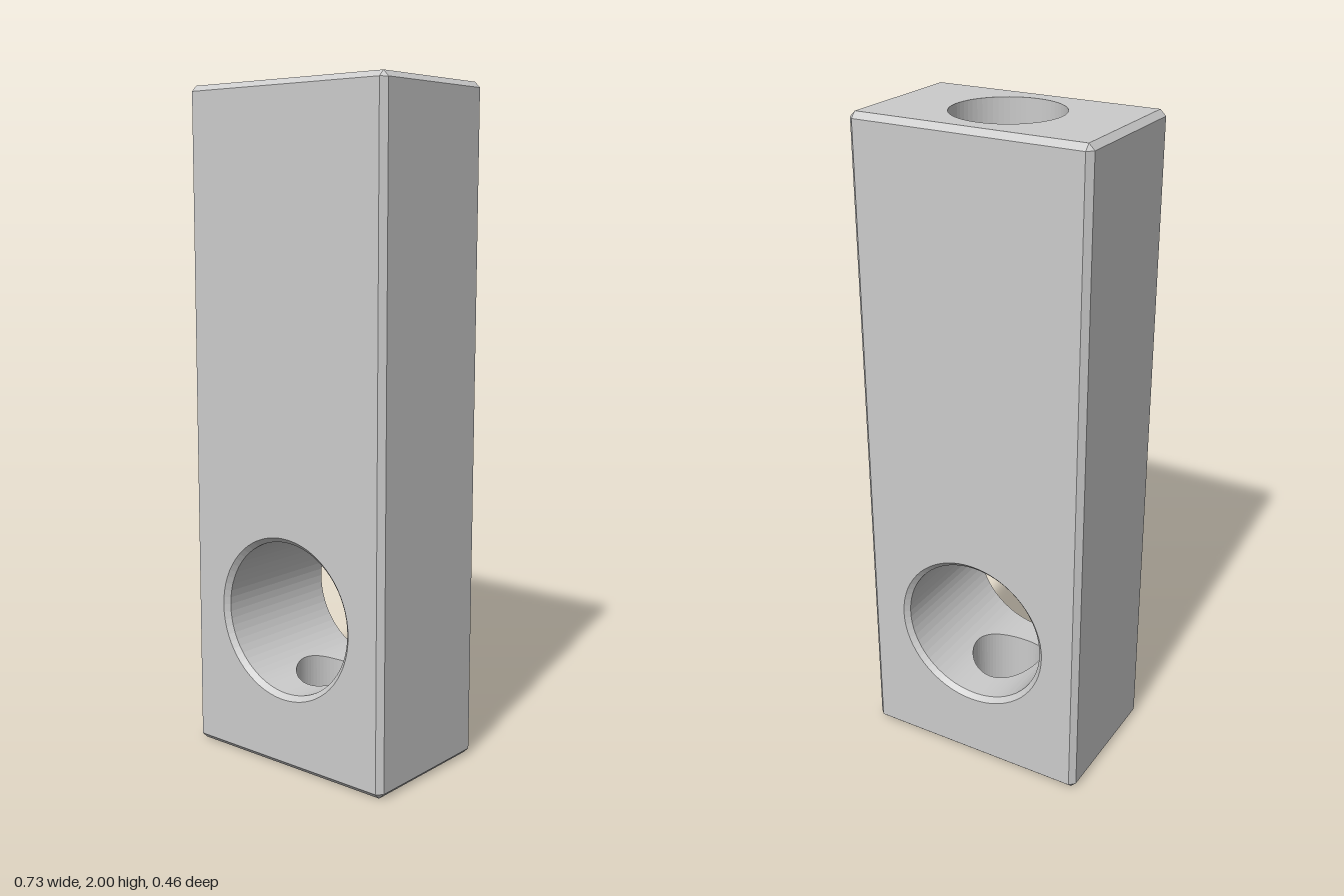
import * as THREE from 'three';

const W = 0.3625, D = 0.2275, H = 2, C = 0.017;          // half width, half depth, height, chamfer
const CROSS_Y = 0.457, CROSS_R = 0.23, CROSS_RIM = 0.245; // cross bore
const BORE_R = 0.114, COUNTER_R = 0.16, STEP_Y = 1.2;     // vertical bore and counterbore
const N = 64;

const material = new THREE.MeshStandardMaterial({ color: 0xcccccc, flatShading: true });

function part(name, geometry) {
  const mesh = new THREE.Mesh(geometry, material);
  mesh.name = name;
  return mesh;
}

// Band of quads between two point loops of equal length
function strip(a, b, closed = true) {
  const n = a.length, index = [];
  for (let i = 0; i < (closed ? n : n - 1); i++) {
    const j = (i + 1) % n;
    index.push(i, j, n + i, j, n + j, n + i);
  }
  const geometry = new THREE.BufferGeometry().setFromPoints([...a, ...b]);
  geometry.setIndex(index);
  geometry.computeVertexNormals();
  return geometry;
}

// Flat rectangle with one hole
function plate(x0, x1, y0, y1, holePoints) {
  const shape = new THREE.Shape([[x0, y0], [x1, y0], [x1, y1], [x0, y1]].map(p => new THREE.Vector2(...p)));
  shape.holes.push(new THREE.Path(holePoints));
  return new THREE.ShapeGeometry(shape);
}

// Horizontal circle; y is a number or a function of x
function circle(r, y) {
  return Array.from({ length: N }, (_, i) => {
    const t = (i / N) * Math.PI * 2, x = r * Math.sin(t);
    return new THREE.Vector3(x, typeof y === 'function' ? y(x) : y, r * Math.cos(t));
  });
}

// Block outline at height y: the octagon, or the inset rectangle with doubled corners
function outline(y, inset) {
  const x = inset ? W - C : W, z = inset ? D - C : D;
  return [[W - C, z], [x, D - C], [x, C - D], [W - C, -z],
    [C - W, -z], [-x, C - D], [-x, D - C], [C - W, z]].map(p => new THREE.Vector3(p[0], y, p[1]));
}

// Angles round the cross bore, matched to the edges of the vertical bore openings
function crossAngles() {
  const a0 = Math.asin(BORE_R / CROSS_R), cap = [], side = [];
  for (let i = 0; i <= N / 2; i++) cap.push(Math.asin(-BORE_R * Math.cos((i / N) * Math.PI * 2) / CROSS_R));
  for (let i = 1; i < 22; i++) side.push(a0 + (Math.PI - 2 * a0) * i / 22);
  const half = [...cap, ...side];
  return [...half, ...half.map(a => a + Math.PI)];
}

export function createModel() {
  const model = new THREE.Group();
  model.name = 'drilledBlock';
  const angles = crossAngles();
  const crossRing = (r, z) => angles.map(a => {
    const x = r * Math.sin(a);
    return new THREE.Vector3(x, CROSS_Y + r * Math.cos(a), typeof z === 'function' ? z(x) : z);
  });

  // Front and back halves are the same, turned half round
  const sideOutline = y => outline(y, false).slice(0, 4);
  for (const [name, turn] of [['front', 0], ['back', Math.PI]]) {
    const half = new THREE.Group();
    half.name = name + 'Half';
    const rim = crossRing(CROSS_RIM, D);
    const face = plate(C - W, W - C, C, H - C, rim.map(p => new THREE.Vector2(p.x, p.y)));
    half.add(part(name + 'Face', face.translate(0, 0, D)));
    half.add(part(name + 'SideWall', strip(sideOutline(C), sideOutline(H - C), false)));

    // Half of the cross bore, cut away where the vertical bore passes, with a chamfered mouth
    const mouth = crossRing(CROSS_R, D - 0.015);
    const cut = crossRing(CROSS_R, x => Math.sqrt(Math.max(0, BORE_R ** 2 - x * x)));
    half.add(part(name + 'CrossBore', strip(cut, mouth)));
    half.add(part(name + 'CrossBoreChamfer', strip(mouth, rim)));
    half.rotation.y = turn;
    model.add(half);
  }

  // Ends and their chamfers
  const hole = r => circle(r, 0).map(p => new THREE.Vector2(p.x, p.z));
  const end = r => plate(C - W, W - C, C - D, D - C, hole(r));
  model.add(part('topFace', end(COUNTER_R).rotateX(-Math.PI / 2).translate(0, H, 0)));
  model.add(part('bottomFace', end(BORE_R).rotateX(Math.PI / 2)));
  model.add(part('topChamfer', strip(outline(H - C, false), outline(H, true))));
  model.add(part('bottomChamfer', strip(outline(0, true), outline(C, false))));

  // Vertical bore: counterbore, step, then narrow bore above and below the cross bore
  const arch = sign => circle(BORE_R, x => CROSS_Y + sign * Math.sqrt(CROSS_R ** 2 - x * x));
  model.add(part('counterbore', strip(circle(COUNTER_R, H), circle(COUNTER_R, STEP_Y))));
  model.add(part('counterboreStep', strip(circle(COUNTER_R, STEP_Y), circle(BORE_R, STEP_Y))));
  model.add(part('upperBore', strip(circle(BORE_R, STEP_Y), arch(1))));
  model.add(part('lowerBore', strip(arch(-1), circle(BORE_R, 0))));
  return model;
}
